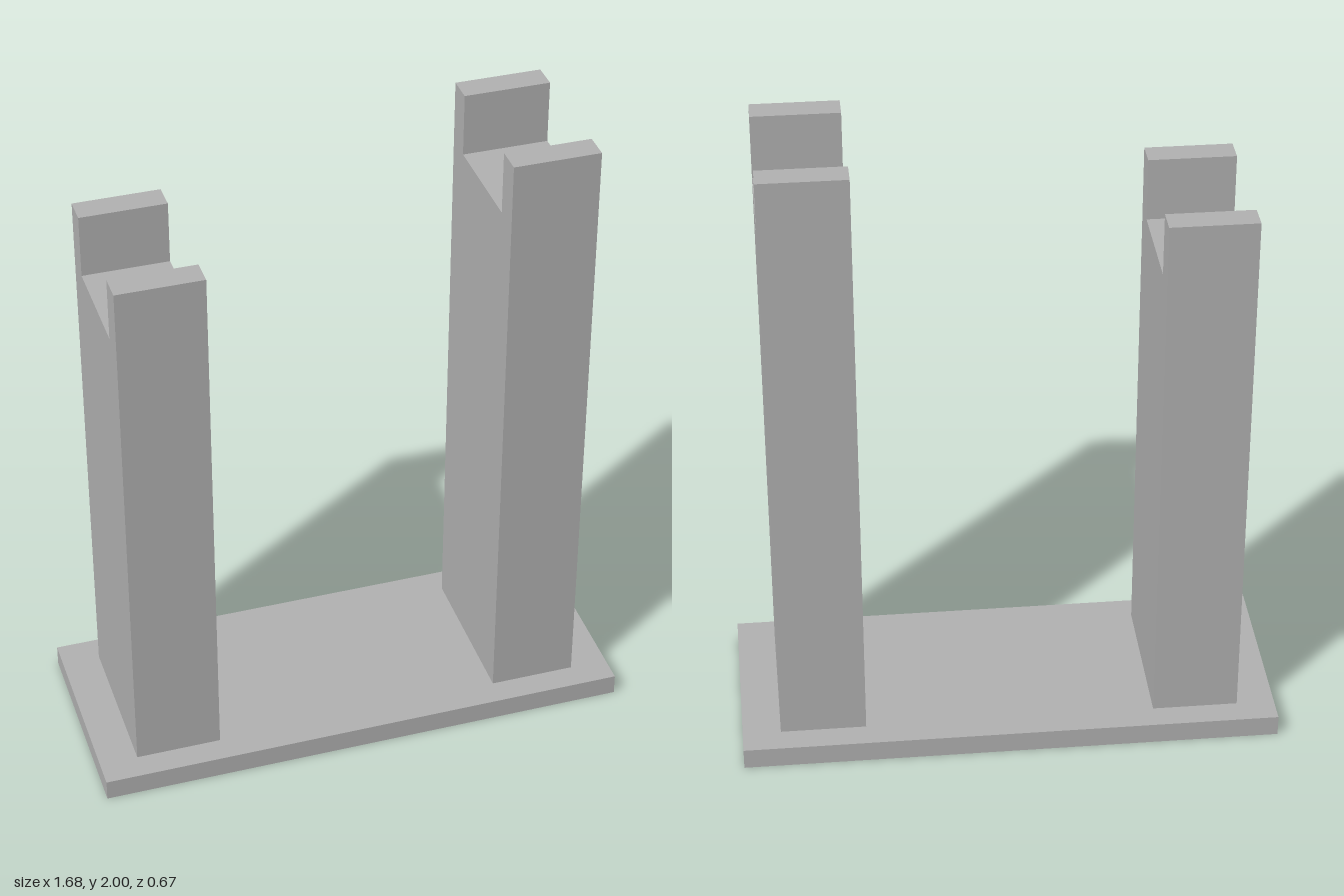
import * as THREE from 'three';

const BASE_H = 0.067;   // base plate thickness
const NOTCH_D = 0.2;    // depth of the slot in each post
const POST_W = 0.268;   // post size along x

// Post with a square slot in its top, drawn side-on and extruded along x
function makePost(name, x, top, material) {
  const z = 0.253, n = 0.17;
  const profile = new THREE.Shape([
    [-z, BASE_H], [z, BASE_H], [z, top], [n, top],
    [n, top - NOTCH_D], [-n, top - NOTCH_D], [-n, top], [-z, top],
  ].map(([a, b]) => new THREE.Vector2(a, b)));
  const geometry = new THREE.ExtrudeGeometry(profile, { depth: POST_W, bevelEnabled: false });
  geometry.translate(0, 0, -POST_W / 2).rotateY(Math.PI / 2);
  const post = new THREE.Mesh(geometry, material);
  post.name = name;
  post.position.x = x;
  return post;
}

export function createModel() {
  const model = new THREE.Group();
  model.name = 'slottedPostStand';
  const grey = new THREE.MeshStandardMaterial({ color: 0xb2b2b2 });
  grey.name = 'grey';

  // Flat base plate
  const base = new THREE.Mesh(new THREE.BoxGeometry(1.685, BASE_H, 0.674), grey);
  base.name = 'basePlate';
  base.position.y = BASE_H / 2;

  // Tall post on the left, shorter one on the right
  model.add(
    base,
    makePost('tallPost', 0.589, 2, grey),
    makePost('shortPost', -0.589, 1.797, grey),
  );
  return model;
}
